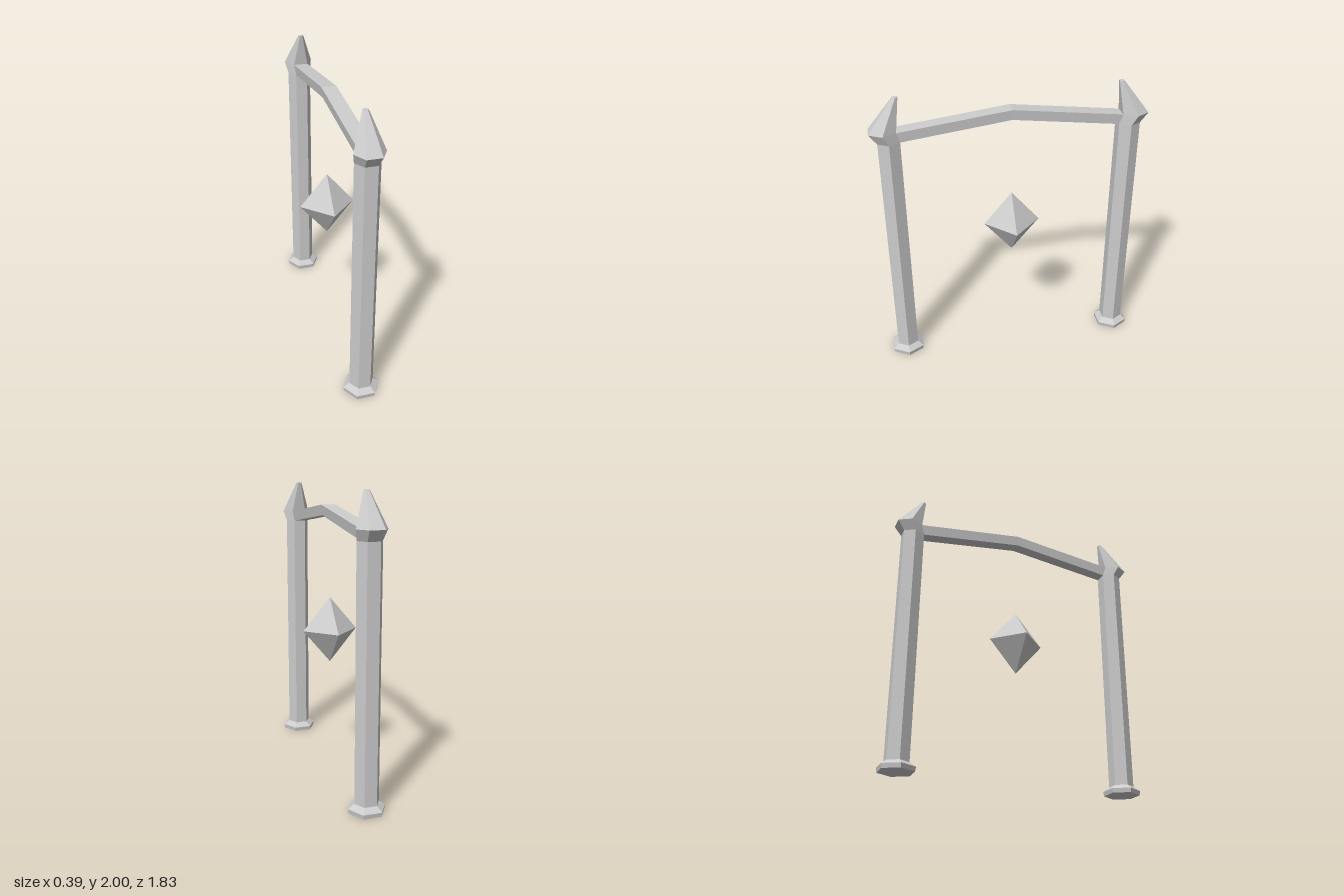
import * as THREE from 'three';

const material = new THREE.MeshStandardMaterial({ color: 0xcccccc, flatShading: true });

// Skin a list of equal-length rings, capped at both ends.
// Rings run counter-clockwise when seen from the end of the loft.
function loft(name, rings) {
  const n = rings[0].length;
  const last = (rings.length - 1) * n;
  const index = [];
  for (let i = 0; i < rings.length - 1; i++) {
    for (let j = 0; j < n; j++) {
      const k = (j + 1) % n;
      const a = i * n + j, b = i * n + k;
      index.push(a, b, b + n, a, b + n, a + n);
    }
  }
  for (let j = 1; j < n - 1; j++) {
    index.push(0, j + 1, j, last, last + j, last + j + 1);
  }
  const indexed = new THREE.BufferGeometry();
  indexed.setAttribute('position', new THREE.Float32BufferAttribute(rings.flat(2), 3));
  indexed.setIndex(index);
  const geometry = indexed.toNonIndexed();
  geometry.computeVertexNormals();
  return named(name, geometry);
}

function named(name, geometry) {
  const mesh = new THREE.Mesh(geometry, material);
  mesh.name = name;
  return mesh;
}

// Horizontal hexagon with corners on the x axis
function hexRing(y, radius, z) {
  return Array.from({ length: 6 }, (_, j) => {
    const a = (j * Math.PI) / 3;
    return [radius * Math.cos(a), y, z - radius * Math.sin(a)];
  });
}

// Hexagonal post with a foot and a pointed head that leans inward
function createPost(name) {
  const z = 0.793;
  const post = new THREE.Group();
  post.name = name;
  post.add(
    loft('foot', [hexRing(0, 0.121, z), hexRing(0.03, 0.126, z), hexRing(0.06, 0.083, z)]),
    loft('shaft', [hexRing(0.06, 0.083, z), hexRing(1.71, 0.083, z)]),
    loft('head', [hexRing(1.71, 0.083, z), hexRing(1.78, 0.1, 0.828), hexRing(2, 0.019, 0.729)])
  );
  return post;
}

// Four-sided slice of the crossbeam, slightly narrower underneath
function beamRing(topY, topZ, bottomY, bottomZ) {
  return [
    [-0.05, topY, topZ], [0.05, topY, topZ],
    [0.042, bottomY, bottomZ], [-0.042, bottomY, bottomZ],
  ];
}

export function createModel() {
  const model = new THREE.Group();
  model.name = 'gate';

  // Arch: two mirrored posts joined by a beam bent at the middle
  const arch = new THREE.Group();
  arch.name = 'arch';
  arch.position.x = 0.008;
  const backPost = createPost('backPost');
  backPost.rotation.y = Math.PI;
  arch.add(
    createPost('frontPost'),
    backPost,
    loft('crossbeam', [
      beamRing(1.78, 0.742, 1.71, 0.721),
      beamRing(1.873, 0, 1.802, 0),
      beamRing(1.78, -0.742, 1.71, -0.721),
    ])
  );

  // Floating crystal
  const crystal = named('crystal', new THREE.OctahedronGeometry(1));
  crystal.scale.set(0.194, 0.231, 0.194);
  crystal.position.set(-0.003, 1.005, -0.005);

  model.add(arch, crystal);
  return model;
}
